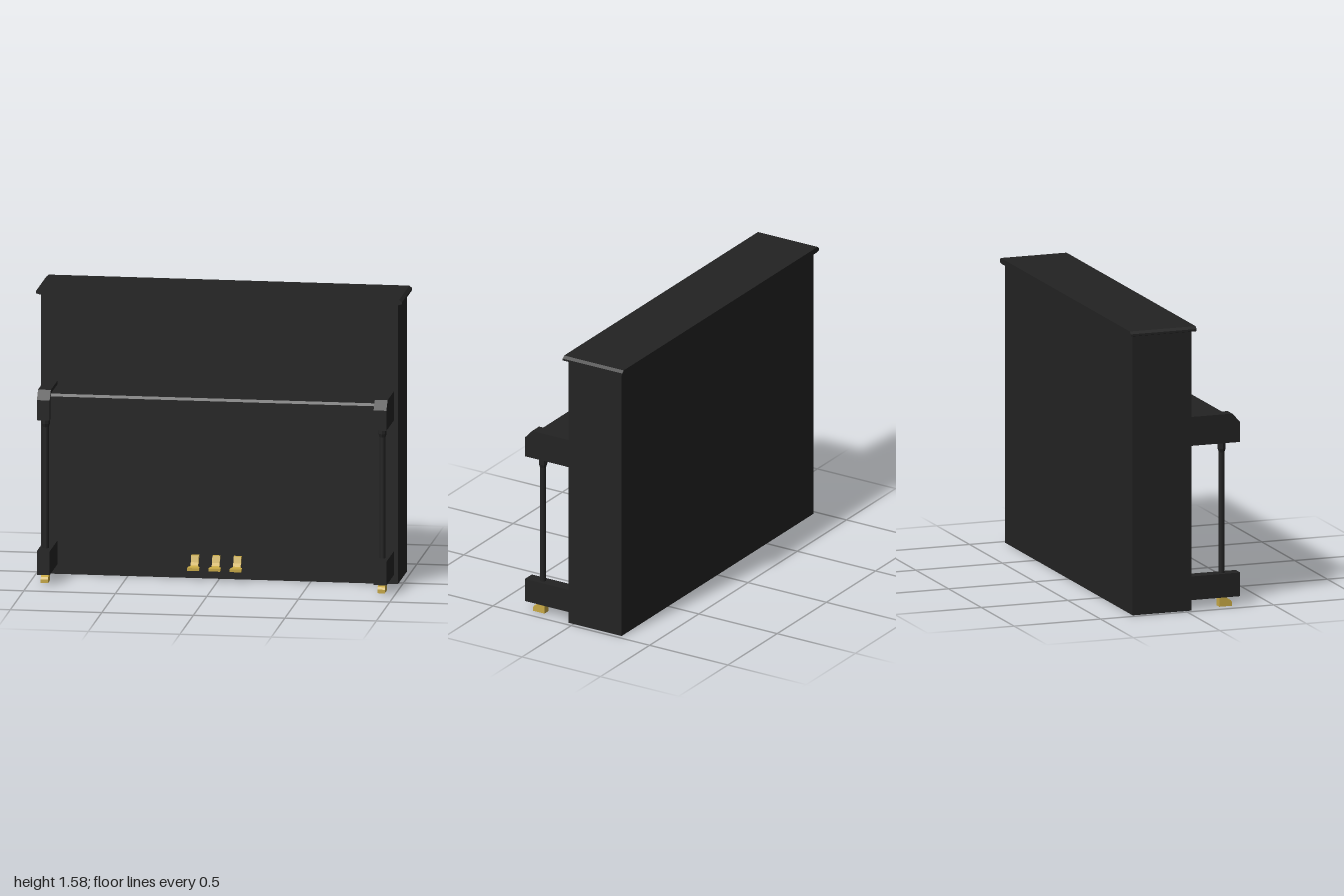
import * as THREE from 'three';

const ebony = new THREE.MeshStandardMaterial({ name: 'ebony', color: 0x232323 });
const brass = new THREE.MeshStandardMaterial({ name: 'brass', color: 0xc9aa45 });

const toShape = (points) => new THREE.Shape(points.map(([a, b]) => new THREE.Vector2(a, b)));

// Side profile given as [z, y], extruded along x and centred on x = 0
function sideProfile(points, width) {
  const geo = new THREE.ExtrudeGeometry(toShape(points), { depth: width, bevelEnabled: false });
  return geo.rotateY(-Math.PI / 2).translate(width / 2, 0, 0);
}

// Box given by its ranges along each axis
function block(x0, x1, y0, y1, z0, z1) {
  return new THREE.BoxGeometry(x1 - x0, y1 - y0, z1 - z0)
    .translate((x0 + x1) / 2, (y0 + y1) / 2, (z0 + z1) / 2);
}

function add(parent, name, geometry, material, x = 0) {
  const mesh = new THREE.Mesh(geometry, material);
  mesh.name = name;
  mesh.position.x = x;
  parent.add(mesh);
  return mesh;
}

export function createModel() {
  const piano = new THREE.Group();
  piano.name = 'uprightPiano';

  // Case
  add(piano, 'case', block(-0.975, 0.975, 0, 1.547, -0.305, 0.035), ebony);

  // Lid with moulded ends
  const lid = toShape([
    [-0.98, 1.545], [0.98, 1.545], [1, 1.551], [1, 1.562],
    [0.985, 1.575], [-0.985, 1.575], [-1, 1.562], [-1, 1.551],
  ]);
  const lidGeo = new THREE.ExtrudeGeometry(lid, { depth: 0.38, bevelEnabled: false });
  add(piano, 'lid', lidGeo.translate(0, 0, -0.325), ebony);

  // Key bed and closed key cover
  add(piano, 'keyBed', block(-0.886, 0.886, 0.91, 0.945, 0.03, 0.3), ebony);
  add(piano, 'keyCover', sideProfile([
    [0.03, 0.945], [0.286, 0.945], [0.286, 1.033], [0.276, 1.047], [0.03, 1.047],
  ], 1.772), ebony);

  // Arms, legs, toe blocks and casters on both sides
  const armGeo = sideProfile([
    [0.03, 0.907], [0.324, 0.907], [0.324, 1.018], [0.278, 1.067], [0.03, 1.067],
  ], 0.07);
  const toeGeo = block(-0.035, 0.035, 0.053, 0.184, 0.03, 0.324);
  const legGeo = new THREE.CylinderGeometry(0.017, 0.017, 0.69, 8).translate(0, 0.525, 0.23);
  const capitalGeo = new THREE.LatheGeometry([
    [0.017, 0.853], [0.023, 0.872], [0.023, 0.91],
  ].map(([r, y]) => new THREE.Vector2(r, y)), 8).toNonIndexed().translate(0, 0, 0.23);
  capitalGeo.computeVertexNormals();
  const casterGeo = sideProfile([
    [0.209, 0], [0.283, 0], [0.283, 0.02], [0.275, 0.032],
    [0.258, 0.04], [0.252, 0.054], [0.209, 0.054],
  ], 0.04);
  for (const [side, s] of [['left', 1], ['right', -1]]) {
    const x = 0.92 * s;
    add(piano, side + 'Arm', armGeo, ebony, x);
    add(piano, side + 'Leg', legGeo, ebony, x);
    add(piano, side + 'Capital', capitalGeo, ebony, x);
    add(piano, side + 'Toe', toeGeo, ebony, x);
    add(piano, side + 'Caster', casterGeo, brass, x);
  }

  // Three pedals: a curved neck running down into a wider foot plate
  const neckGeo = sideProfile([
    [0.03, 0.116], [0.05, 0.112], [0.062, 0.085], [0.08, 0.066],
    [0.1, 0.062], [0.1, 0.074], [0.086, 0.08], [0.072, 0.095], [0.06, 0.13], [0.03, 0.13],
  ], 0.042);
  const foot = toShape([
    [-0.021, -0.078], [-0.032, -0.1], [-0.032, -0.135], [0.032, -0.135], [0.032, -0.1], [0.021, -0.078],
  ]);
  const footGeo = new THREE.ExtrudeGeometry(foot, { depth: 0.015, bevelEnabled: false })
    .rotateX(-Math.PI / 2).translate(0, 0.06, 0);
  ['right', 'middle', 'left'].forEach((side, i) => {
    const pedal = new THREE.Group();
    pedal.name = side + 'Pedal';
    pedal.position.x = -0.13 + i * 0.116;
    add(pedal, 'pedalNeck', neckGeo, brass);
    add(pedal, 'pedalFoot', footGeo, brass);
    piano.add(pedal);
  });

  return piano;
}
